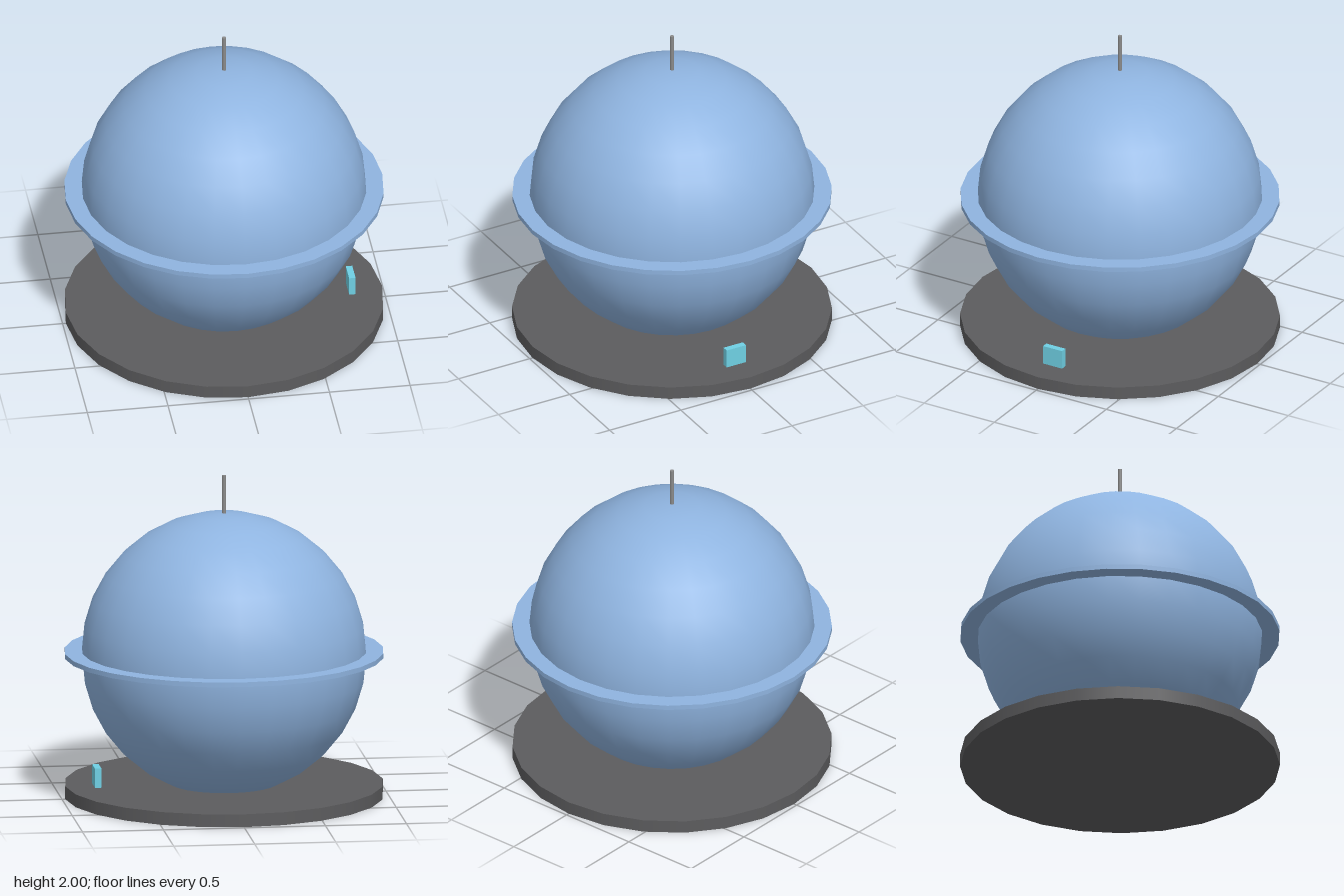
import * as THREE from 'three';

const paint = (color) => new THREE.MeshStandardMaterial({ color });

export function createModel() {
  const model = new THREE.Group();
  const blue = paint(0x8fb4e0);

  const add = (name, geometry, material, x, y) => {
    const mesh = new THREE.Mesh(geometry, material);
    mesh.name = name;
    mesh.position.set(x, y, 0);
    model.add(mesh);
  };

  // Round foot plate
  add('base', new THREE.CylinderGeometry(0.98, 0.98, 0.08, 24), paint(0x5c5c5e), 0, 0.04);

  // Globe sunk slightly into the plate, with a thin rim at its equator
  add('globe', new THREE.SphereGeometry(0.875, 28, 16), blue, 0, 0.89);
  add('equatorRim', new THREE.CylinderGeometry(0.98, 0.98, 0.03, 28), blue, 0, 0.89);

  // Thin mast on top
  add('mast', new THREE.CylinderGeometry(0.013, 0.013, 0.26, 8), paint(0x8c8c8c), 0, 1.87);

  // Small upright block on the left of the plate
  add('sideBlock', new THREE.BoxGeometry(0.04, 0.12, 0.136), paint(0x6fd0e4), 0.785, 0.14);

  return model;
}
